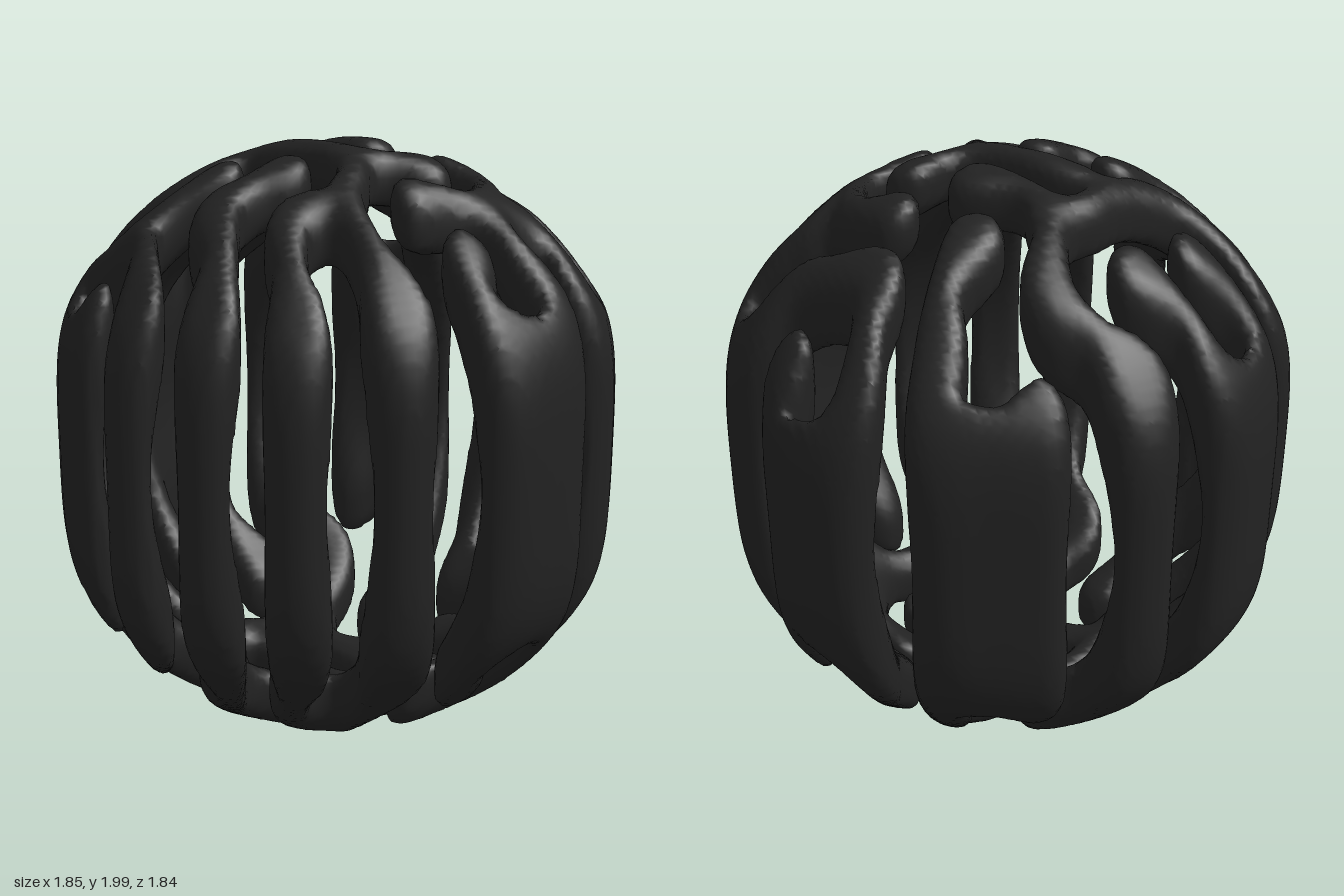
import * as THREE from 'three';

// A hollow ball whose shell is cut, straight down, by a branching labyrinth pattern.
const OUTER = 1.0, INNER = 0.825, STEP = 0.022;
const MID = (OUTER + INNER) / 2, HALF = (OUTER - INNER) / 2;

// Each island: branches of [x, z, half width] seen from above
const islands = {
  centralBranches: [
    [[-0.015, -0.805, 0.12], [0.07, -0.68, 0.06], [0.145, -0.56, 0.085], [0.06, -0.39, 0.055], [-0.01, -0.3, 0.055]],
    [[-0.73, -0.42, 0.1], [-0.61, -0.28, 0.06], [-0.49, -0.2, 0.06], [-0.37, -0.19, 0.07], [-0.24, -0.23, 0.06], [-0.1, -0.3, 0.055], [0.03, -0.31, 0.055]],
    [[-0.24, -0.21, 0.055], [-0.145, -0.08, 0.07], [-0.06, 0.07, 0.055], [0.01, 0.19, 0.065], [0.12, 0.21, 0.05], [0.235, 0.215, 0.085]],
    [[0.0, -0.28, 0.05], [0.04, -0.17, 0.055], [0.13, -0.05, 0.092]],
    [[0.0, 0.2, 0.055], [-0.04, 0.32, 0.055], [-0.1, 0.44, 0.06], [-0.075, 0.62, 0.05], [-0.035, 0.8, 0.112]],
    [[-0.12, 0.45, 0.05], [-0.27, 0.47, 0.075], [-0.31, 0.61, 0.055], [-0.33, 0.76, 0.102]],
  ],
  backRightHook: [
    [[-0.41, -0.46, 0.088], [-0.51, -0.55, 0.06], [-0.555, -0.64, 0.065], [-0.44, -0.755, 0.06], [-0.32, -0.775, 0.08], [-0.255, -0.66, 0.055], [-0.15, -0.55, 0.095]],
  ],
  backLeftHook: [
    [[0.29, -0.78, 0.085], [0.42, -0.745, 0.06], [0.55, -0.64, 0.085], [0.475, -0.51, 0.08], [0.4, -0.39, 0.06], [0.265, -0.295, 0.095]],
  ],
  leftBranches: [
    [[0.82, -0.145, 0.09], [0.875, -0.2, 0.035], [0.865, -0.29, 0.04], [0.81, -0.4, 0.06], [0.73, -0.43, 0.08], [0.61, -0.31, 0.06], [0.54, -0.21, 0.085], [0.625, -0.05, 0.065], [0.7, 0.06, 0.075], [0.83, 0.13, 0.085], [0.84, 0.27, 0.055], [0.77, 0.41, 0.055], [0.7, 0.45, 0.09], [0.6, 0.36, 0.065], [0.51, 0.33, 0.08], [0.36, 0.42, 0.06]],
    [[0.39, 0.0, 0.08], [0.45, 0.14, 0.055], [0.43, 0.28, 0.065], [0.35, 0.4, 0.06], [0.24, 0.42, 0.05], [0.12, 0.43, 0.07]],
    [[0.37, 0.41, 0.06], [0.42, 0.53, 0.055], [0.53, 0.64, 0.08], [0.43, 0.76, 0.06], [0.28, 0.8, 0.08], [0.23, 0.73, 0.06], [0.23, 0.64, 0.085]],
  ],
  rightBranches: [
    [[-0.835, 0.14, 0.075], [-0.875, 0.06, 0.04], [-0.88, -0.04, 0.048], [-0.83, -0.16, 0.078], [-0.75, -0.05, 0.05], [-0.64, 0.03, 0.058], [-0.52, 0.03, 0.055], [-0.395, 0.005, 0.085]],
    [[-0.66, 0.04, 0.05], [-0.67, 0.18, 0.05], [-0.735, 0.38, 0.097]],
  ],
  frontRightBranch: [
    [[-0.555, 0.6, 0.1], [-0.49, 0.46, 0.06], [-0.45, 0.27, 0.085], [-0.34, 0.235, 0.06], [-0.225, 0.205, 0.085]],
  ],
};

// Smooth minimum; smooth maximum follows by negation
function smin(a, b, k) {
  const h = Math.max(k - Math.abs(a - b), 0) / k;
  return Math.min(a, b) - h * h * k / 4;
}

// Signed distance to a branch of varying width, sampled along a smooth curve
function makeBranch(points) {
  const curve = new THREE.CatmullRomCurve3(points.map(([x, z, r]) => new THREE.Vector3(x, r, z)));
  const s = curve.getPoints((points.length - 1) * 6);
  return (x, z) => {
    let best = Infinity;
    for (let i = 1; i < s.length; i++) {
      const a = s[i - 1], b = s[i], dx = b.x - a.x, dz = b.z - a.z;
      const t = Math.min(1, Math.max(0, ((x - a.x) * dx + (z - a.z) * dz) / (dx * dx + dz * dz)));
      best = Math.min(best, Math.hypot(x - a.x - t * dx, z - a.z - t * dz) - a.y - t * (b.y - a.y));
    }
    return best;
  };
}

// Surface of one island: pattern distance blended with the shell distance
function buildIsland(branches) {
  const all = branches.flat(), pad = 0.18;
  const lo = [Math.min(...all.map(p => p[0])) - pad, -1.06, Math.min(...all.map(p => p[1])) - pad];
  const hi = [Math.max(...all.map(p => p[0])) + pad, 1.06, Math.max(...all.map(p => p[1])) + pad];
  const n = lo.map((v, i) => Math.ceil((hi[i] - v) / STEP) + 1);
  const stride = [1, n[0], n[0] * n[1]];
  const field = new Float32Array(n[0] * n[1] * n[2]);
  const fns = branches.map(makeBranch);

  for (let k = 0; k < n[2]; k++) for (let i = 0; i < n[0]; i++) {
    const x = lo[0] + i * STEP, z = lo[2] + k * STEP;
    const pattern = fns.reduce((d, f) => smin(d, f(x, z), 0.05), 10);
    for (let j = 0; j < n[1]; j++) {
      const shell = Math.abs(Math.hypot(x, lo[1] + j * STEP, z) - MID) - HALF;
      field[i + j * stride[1] + k * stride[2]] = -smin(-pattern, -shell, 0.07);
    }
  }

  // One vertex in each cell the surface crosses, at the mean of its edge crossings
  const positions = [], index = [], vertexOf = new Int32Array(field.length).fill(-1);
  for (let k = 0; k < n[2] - 1; k++) for (let j = 0; j < n[1] - 1; j++) for (let i = 0; i < n[0] - 1; i++) {
    const base = i + j * stride[1] + k * stride[2], sum = [0, 0, 0];
    let count = 0;
    for (let a = 0; a < 3; a++) {
      const b = (a + 1) % 3, c = (a + 2) % 3;
      for (let q = 0; q < 4; q++) {
        const u = q & 1, v = q >> 1, p = base + u * stride[b] + v * stride[c];
        const f0 = field[p], f1 = field[p + stride[a]];
        if ((f0 < 0) === (f1 < 0)) continue;
        sum[a] += f0 / (f0 - f1);
        sum[b] += u;
        sum[c] += v;
        count++;
      }
    }
    if (!count) continue;
    vertexOf[base] = positions.length / 3;
    [i, j, k].forEach((g, a) => positions.push(lo[a] + (g + sum[a] / count) * STEP));
  }

  // One quad around each grid edge the surface crosses
  for (let k = 1; k < n[2] - 1; k++) for (let j = 1; j < n[1] - 1; j++) for (let i = 1; i < n[0] - 1; i++) {
    const p = i + j * stride[1] + k * stride[2];
    for (let a = 0; a < 3; a++) {
      const inside = field[p] < 0;
      if (inside === (field[p + stride[a]] < 0)) continue;
      const sb = stride[(a + 1) % 3], sc = stride[(a + 2) % 3];
      const [q0, q1, q2, q3] = [p - sb - sc, p - sc, p, p - sb].map(c => vertexOf[c]);
      if (inside) index.push(q0, q1, q2, q0, q2, q3);
      else index.push(q0, q2, q1, q0, q3, q2);
    }
  }

  const geometry = new THREE.BufferGeometry();
  geometry.setAttribute('position', new THREE.Float32BufferAttribute(positions, 3));
  geometry.setIndex(index);
  geometry.computeVertexNormals();
  return geometry;
}

export function createModel() {
  const group = new THREE.Group();
  group.name = 'labyrinthBall';
  const material = new THREE.MeshStandardMaterial({ color: 0x222222 });
  for (const [name, branches] of Object.entries(islands)) {
    const mesh = new THREE.Mesh(buildIsland(branches), material);
    mesh.name = name;
    mesh.position.y = 1;
    group.add(mesh);
  }
  return group;
}
